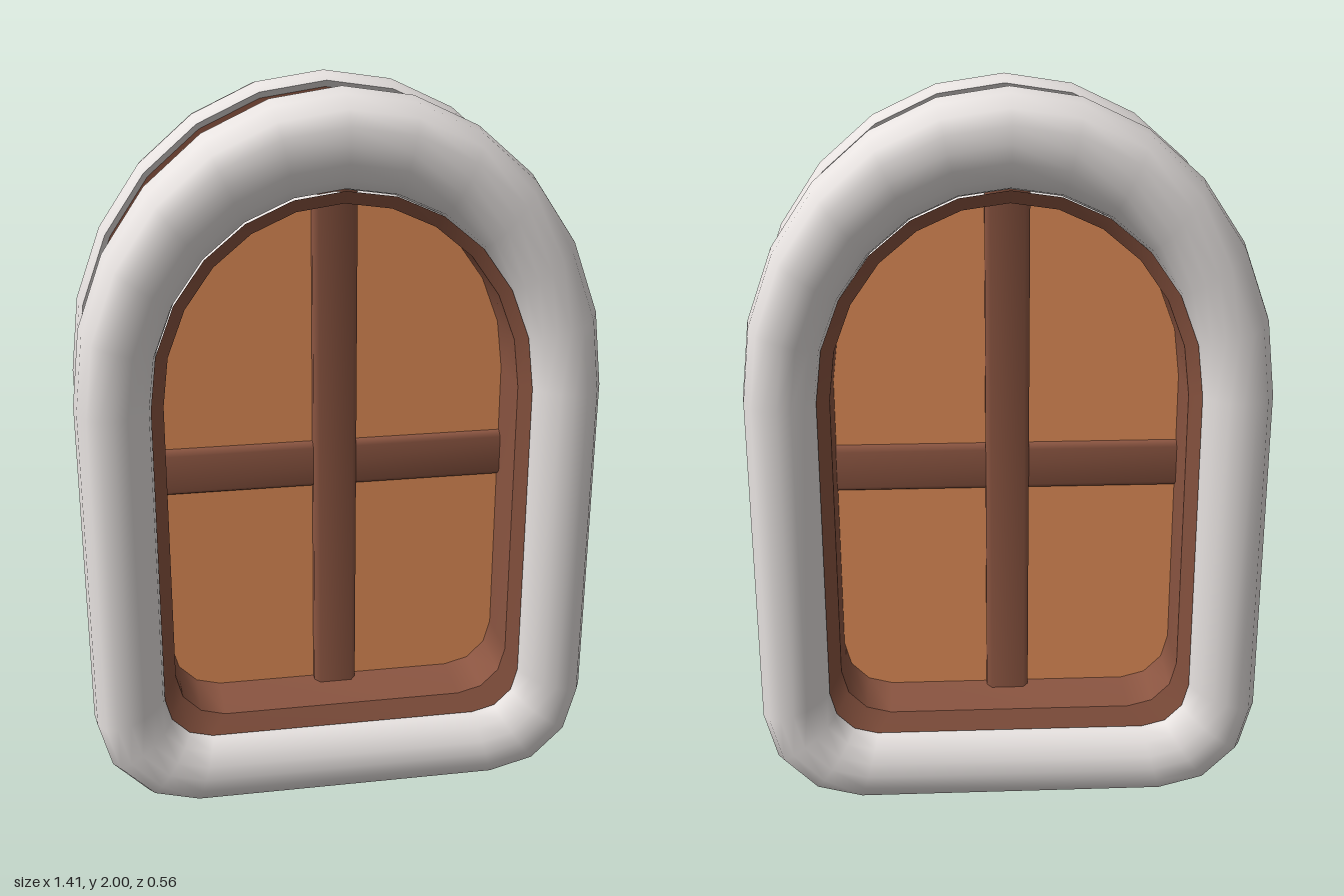
import * as THREE from 'three';

const material = (name, color) => {
  const m = new THREE.MeshStandardMaterial({ color });
  m.name = name;
  return m;
};

// Outline sizes: [half width, bottom, top, corner radius]
const INNER = [0.505, 0.21, 1.75, 0.13];
const OUTER = [0.705, 0, 2, 0.27];
const WALL = [0.481, 0.25, 1.72, 0.12];
const LIP = [0.508, 0.209, 1.752, 0.13];
const LINING = [0.474, 0.263, 1.716, 0.135];
const PANE = [0.478, 0.256, 1.718, 0.12];
const between = (t) => INNER.map((v, k) => v + (OUTER[k] - v) * t);

// Arched outline, counter-clockwise from the front
function outline([w, bottom, top, r], z) {
  const spring = 1.2, pts = [];
  const corner = (side, from) => {
    for (let i = 0; i <= 3; i++) {
      const a = from + (i / 3) * Math.PI / 2;
      pts.push(new THREE.Vector3(side * (w - r) + r * Math.cos(a), bottom + r + r * Math.sin(a), z));
    }
  };
  corner(1, -Math.PI / 2);
  for (let i = 0; i <= 12; i++) {
    const a = (i / 12) * Math.PI;
    pts.push(new THREE.Vector3(w * Math.cos(a), spring + (top - spring) * Math.sin(a), z));
  }
  corner(-1, Math.PI);
  return pts;
}

// Skin joining a row of closed loops
function loft(loops) {
  const n = loops[0].length, index = [];
  for (let j = 0; j < loops.length - 1; j++) {
    for (let i = 0; i < n; i++) {
      const a = j * n + i, b = j * n + (i + 1) % n;
      index.push(a, b, a + n, b, b + n, a + n);
    }
  }
  const geo = new THREE.BufferGeometry().setFromPoints(loops.flat());
  geo.setIndex(index);
  geo.computeVertexNormals();
  return geo;
}

const sweep = (profile) => loft(profile.map(([size, z]) => outline(size, z)));
const ring = (profile) => sweep(profile.map(([t, z]) => [between(t), z]));

// Open-ended bar along z; its edges are cut back by cx and cy
function barGeometry(hx, hy, half, cx, cy) {
  const section = [[hx, cy - hy], [hx, hy - cy], [hx - cx, hy], [cx - hx, hy],
    [-hx, hy - cy], [-hx, cy - hy], [cx - hx, -hy], [hx - cx, -hy]];
  return loft([-half, half].map((z) => section.map(([x, y]) => new THREE.Vector3(x, y, z))));
}

export function createModel() {
  const stone = material('pale stone', 0xe9e4e2);
  const wood = material('brown wood', 0x8b5541);
  const glass = material('amber glass', 0xe69059);

  const model = new THREE.Group();
  model.name = 'archedWindow';
  const add = (parent, name, geo, mat) => {
    const mesh = new THREE.Mesh(geo, mat);
    mesh.name = name;
    parent.add(mesh);
    return mesh;
  };

  // Rounded surround, its back with a sunken wooden band, and the wooden lining
  const surround = ring([[0.92, 0.09], [0.97, 0.108], [1, 0.145], [0.96, 0.205], [0.84, 0.258],
    [0.68, 0.275], [0.5, 0.278], [0.32, 0.272], [0.15, 0.25], [0.04, 0.222], [0, 0.18]]);
  const backRim = ring([[0.84, 0.115], [0.92, 0.09]]);
  const backBand = ring([[0.4, 0.115], [0.84, 0.115]]);
  const backStep = ring([[0.4, 0.09], [0.4, 0.115]]);
  const backInner = sweep([[WALL, 0.09], [between(0.4), 0.09]]);
  const lip = sweep([[LIP, 0.212], [LINING, 0.19]]);
  const reveal = sweep([[LINING, 0.19], [LINING, 0]]);

  for (const [name, turn] of [['frontFrame', 0], ['backFrame', Math.PI]]) {
    const frame = new THREE.Group();
    frame.name = name;
    frame.rotation.y = turn;
    add(frame, 'surround', surround, stone);
    add(frame, 'surroundBackRim', backRim, stone);
    add(frame, 'woodBackBand', backBand, wood);
    add(frame, 'surroundBackStep', backStep, stone);
    add(frame, 'surroundBackInner', backInner, stone);
    add(frame, 'woodLip', lip, wood);
    add(frame, 'woodReveal', reveal, wood);
    model.add(frame);
  }

  // Recessed wall joining the two frames
  add(model, 'recessedWall', sweep([[WALL, -0.1], [WALL, 0.1]]), stone);

  // Glass pane
  const pane = new THREE.Shape(outline(PANE, 0).map((p) => new THREE.Vector2(p.x, p.y)));
  const paneGeo = new THREE.ExtrudeGeometry(pane, { depth: 0.044, bevelEnabled: false });
  add(model, 'glassPane', paneGeo.translate(0, 0, -0.022), glass);

  // Crossed glazing bars
  const uprightGeo = barGeometry(0.06, 0.065, 0.847, 0.014, 0.02).rotateX(Math.PI / 2);
  add(model, 'verticalBar', uprightGeo, wood).position.y = 0.997;
  const crossGeo = barGeometry(0.045, 0.066, 0.585, 0.016, 0.014).rotateY(Math.PI / 2);
  add(model, 'horizontalBar', crossGeo, wood).position.y = 0.947;

  return model;
}
